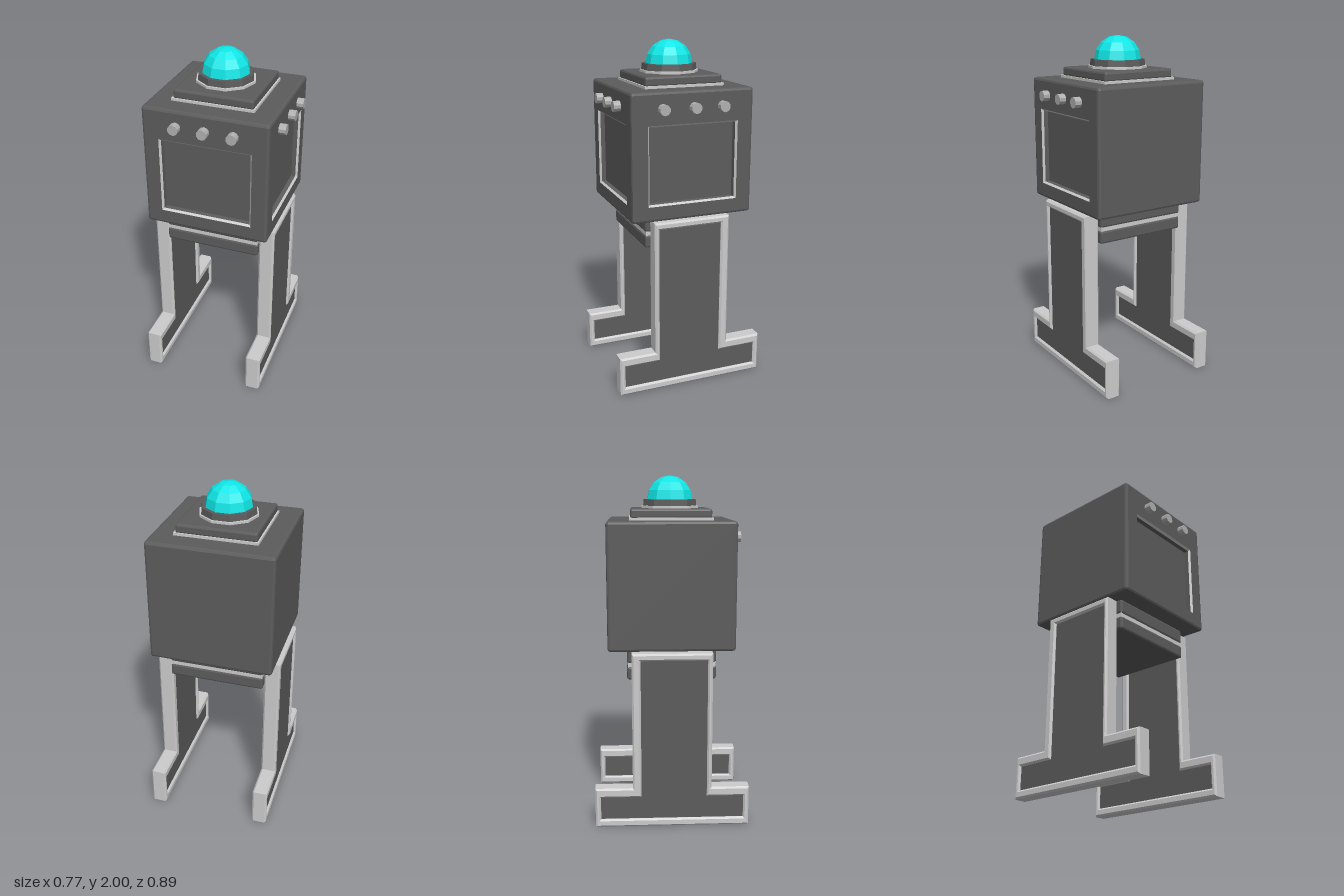
import * as THREE from 'three';
import { RoundedBoxGeometry } from 'three/addons/geometries/RoundedBoxGeometry.js';

const paint = (color) => new THREE.MeshStandardMaterial({ color, flatShading: true, side: THREE.DoubleSide });
const GREY = paint(0xcccccc), DARK = paint(0x5c5c5c), KNOB = paint(0xb0b0b0), CYAN = paint(0x10e6e6);

function add(parent, name, geometry, material, x = 0, y = 0, z = 0) {
  const mesh = new THREE.Mesh(geometry, material);
  mesh.name = name;
  mesh.position.set(x, y, z);
  parent.add(mesh);
  return mesh;
}

const bevelBox = (w, h, d, r) => new RoundedBoxGeometry(w, h, d, 1, r);

// Drops the flat +x and +z faces so that recessed screens can take their place
function openTwoSides(geometry, hx, hz) {
  const p = geometry.toNonIndexed().attributes.position;
  const kept = [];
  for (let i = 0; i < p.count; i += 3) {
    const corners = [i, i + 1, i + 2];
    const flat = corners.every((k) => p.getX(k) > hx - 1e-4) || corners.every((k) => p.getZ(k) > hz - 1e-4);
    if (!flat) corners.forEach((k) => kept.push(p.getX(k), p.getY(k), p.getZ(k)));
  }
  const open = new THREE.BufferGeometry();
  open.setAttribute('position', new THREE.Float32BufferAttribute(kept, 3));
  open.computeVertexNormals();
  return open;
}

// Four sloping walls between two rectangles, the first one at the front
function rectWalls(w, h, inset, depth) {
  const s = Math.SQRT1_2;
  const g = new THREE.CylinderGeometry(s, s, depth, 4, 1, true);
  g.rotateY(Math.PI / 4).rotateX(Math.PI / 2);
  const p = g.attributes.position;
  for (let i = 0; i < p.count; i++) {
    const k = p.getZ(i) > 0 ? 0 : 2 * inset;
    p.setXY(i, p.getX(i) * (w - k), p.getY(i) * (h - k));
  }
  return g.translate(0, 0, -depth / 2);
}

function outline(points) {
  return points.map(([x, y]) => new THREE.Vector2(x, y));
}

// Face with a recessed screen and a row of knobs, facing +z
function makeScreenSide(name, w, h, knobXs) {
  const side = new THREE.Group();
  side.name = name;
  const sw = 0.53, sh = 0.45, sy = -0.045;
  const rect = (a, b, y) => outline([[-a / 2, y - b / 2], [a / 2, y - b / 2], [a / 2, y + b / 2], [-a / 2, y + b / 2]]);
  const shape = new THREE.Shape(rect(w, h, 0));
  shape.holes.push(new THREE.Path(rect(sw, sh, sy).reverse()));
  add(side, 'screenSurround', new THREE.ShapeGeometry(shape), DARK);
  add(side, 'screenTrim', rectWalls(sw, sh, 0.01, 0.012), GREY, 0, sy, 0);
  add(side, 'screenWalls', rectWalls(sw - 0.02, sh - 0.02, 0.003, 0.025), DARK, 0, sy, -0.012);
  add(side, 'screen', new THREE.PlaneGeometry(sw - 0.026, sh - 0.026), DARK, 0, sy, -0.037);
  for (const x of knobXs) {
    const knob = new THREE.CylinderGeometry(0.03, 0.03, 0.05, 10).rotateX(Math.PI / 2);
    add(side, 'knob', knob, KNOB, x, 0.265, 0.015);
  }
  return side;
}

// Inverted T: column on a long foot, read as (z, y)
function legOutline(foot, front, back, bottom, step, top) {
  return outline([[-foot, bottom], [foot, bottom], [foot, step], [front, step],
    [front, top], [-back, top], [-back, step], [-foot, step]]);
}

function makeLeg(name, x) {
  const leg = new THREE.Group();
  leg.name = name;
  const bevel = 0.01, thick = 0.09;
  const panel = legOutline(0.413, 0.2, 0.178, 0.047, 0.18, 0.987);
  const shape = new THREE.Shape(legOutline(0.445, 0.228, 0.228, 0, 0.235, 1.028));
  shape.holes.push(new THREE.Path(panel.slice().reverse()));
  const frame = new THREE.ExtrudeGeometry(shape, {
    depth: thick - 2 * bevel, bevelEnabled: true, bevelSegments: 1,
    bevelThickness: bevel, bevelSize: bevel, bevelOffset: -bevel,
  });
  frame.translate(0, 0, bevel - thick / 2).rotateY(-Math.PI / 2);
  add(leg, 'legFrame', frame, GREY);
  const slab = new THREE.ExtrudeGeometry(new THREE.Shape(panel), { depth: thick - 0.026, bevelEnabled: false });
  slab.translate(0, 0, 0.013 - thick / 2).rotateY(-Math.PI / 2);
  add(leg, 'legPanel', slab, DARK);
  leg.position.x = x;
  return leg;
}

export function createModel() {
  const model = new THREE.Group();
  const cx = -0.0135;

  // Body: a bevelled cube with screens on the front and left sides
  const size = 0.717, r = 0.015, half = size / 2, bodyY = 1.395, bodyZ = -0.002;
  const body = new THREE.Group();
  body.name = 'body';
  body.position.set(cx, bodyY, bodyZ);
  add(body, 'bodyShell', openTwoSides(bevelBox(size, size, size, r), half, half), DARK);
  const flat = size - 2 * r;
  const front = makeScreenSide('frontScreen', flat, flat, [-0.162, 0, 0.163]);
  front.position.z = half;
  const left = makeScreenSide('leftScreen', flat, flat, [-0.18, 0.002, 0.17]);
  left.position.x = half;
  left.rotation.y = Math.PI / 2;
  body.add(front, left);
  model.add(body);

  // Top plate on a thin trim
  add(model, 'plateTrim', new THREE.BoxGeometry(0.472, 0.016, 0.47), GREY, cx, 1.76, 0);
  add(model, 'topPlate', bevelBox(0.456, 0.055, 0.456, 0.012), DARK, cx, 1.789, 0);

  // Lamp: stepped ten-sided collar and a faceted dome
  const lampX = -0.02, quarter = Math.PI / 2;
  const ring = (r0, r1, h) => new THREE.CylinderGeometry(r0, r1, h, 10).rotateY(quarter);
  add(model, 'lampTrim', ring(0.17, 0.17, 0.016), GREY, lampX, 1.822, 0);
  add(model, 'lampCollar', ring(0.156, 0.16, 0.038), DARK, lampX, 1.847, 0);
  const dome = new THREE.SphereGeometry(0.135, 10, 4, 0, Math.PI * 2, 0, quarter);
  add(model, 'lampDome', dome, CYAN, lampX, 1.865, 0);

  // Hip block split by a pale band
  const hipX = -0.018;
  add(model, 'upperHip', bevelBox(0.56, 0.086, 0.508, 0.012), DARK, hipX, 0.997, 0);
  add(model, 'hipBand', new THREE.BoxGeometry(0.552, 0.04, 0.498), GREY, hipX, 0.945, 0);
  add(model, 'lowerHip', bevelBox(0.56, 0.077, 0.508, 0.012), DARK, hipX, 0.8975, 0);

  // Legs
  model.add(makeLeg('rightLeg', -0.345), makeLeg('leftLeg', 0.306));
  return model;
}
